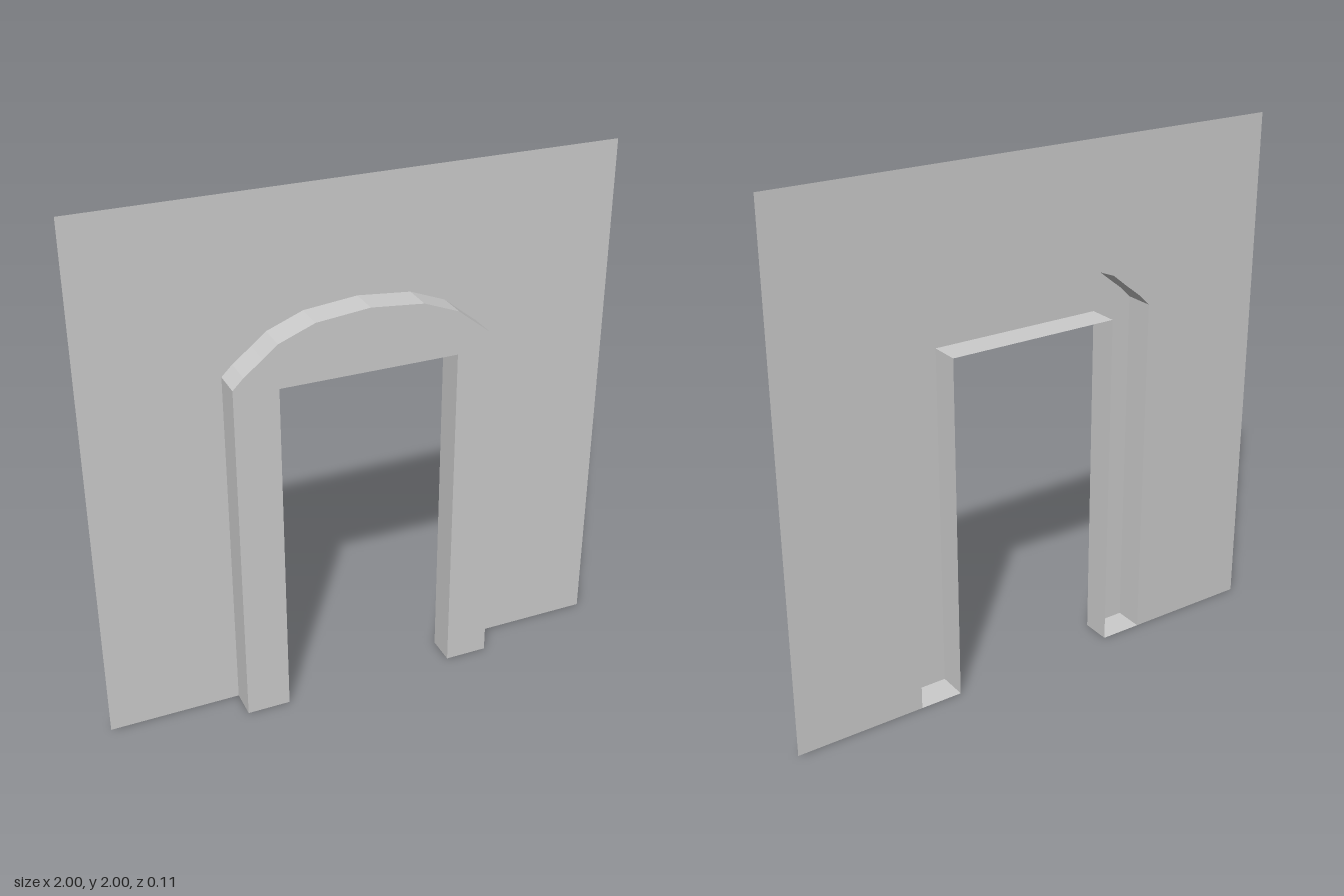
import * as THREE from 'three';

const DEPTH = 0.057; // half the depth between wall sheet and surround face

// Arch from the right springing point to the crown, mirrored for the left side
const halfArch = [[0.5, 1.36], [0.46, 1.4], [0.39, 1.455], [0.335, 1.5], [0.2, 1.553], [0, 1.573]];
const arch = [...halfArch, ...halfArch.slice(0, -1).reverse().map(([x, y]) => [-x, y])];
const outer = [[0.5, 0], ...arch, [-0.5, 0]];
const opening = [[-0.335, 0], [-0.335, 1.335], [0.335, 1.335], [0.335, 0]];

const toShape = (points) => new THREE.Shape(points.map(([x, y]) => new THREE.Vector2(x, y)));

// Flat-faced band that sweeps a polyline from the back plane to the front plane
function bandGeometry(points) {
  const pos = [];
  for (let i = 0; i < points.length - 1; i++) {
    const [ax, ay] = points[i];
    const [bx, by] = points[i + 1];
    pos.push(ax, ay, DEPTH, ax, ay, -DEPTH, bx, by, -DEPTH);
    pos.push(ax, ay, DEPTH, bx, by, -DEPTH, bx, by, DEPTH);
  }
  const geometry = new THREE.BufferGeometry();
  geometry.setAttribute('position', new THREE.Float32BufferAttribute(pos, 3));
  geometry.computeVertexNormals();
  return geometry;
}

export function createModel() {
  const group = new THREE.Group();
  group.name = 'archedDoorway';
  const plaster = new THREE.MeshStandardMaterial({ color: 0xcccccc, side: THREE.DoubleSide });
  plaster.name = 'greyPlaster';

  const add = (name, geometry, z = 0) => {
    const mesh = new THREE.Mesh(geometry, plaster);
    mesh.name = name;
    mesh.position.z = z;
    group.add(mesh);
  };

  // Thin wall sheet with an arched cut-out
  const wallOutline = [[-1, 0], [-0.5, 0], ...[...arch].reverse(), [0.5, 0], [1, 0], [1, 2], [-1, 2]];
  add('wall', new THREE.ShapeGeometry(toShape(wallOutline)), -DEPTH);

  // Hollow surround standing proud of the wall, open at the back
  add('surroundFace', new THREE.ShapeGeometry(toShape([...outer, ...opening])), DEPTH);
  add('surroundRim', bandGeometry(outer));
  add('openingReveal', bandGeometry(opening));

  // Undersides of the two jambs
  add('leftJambFoot', bandGeometry([[0.335, 0], [0.5, 0]]));
  add('rightJambFoot', bandGeometry([[-0.5, 0], [-0.335, 0]]));

  return group;
}
